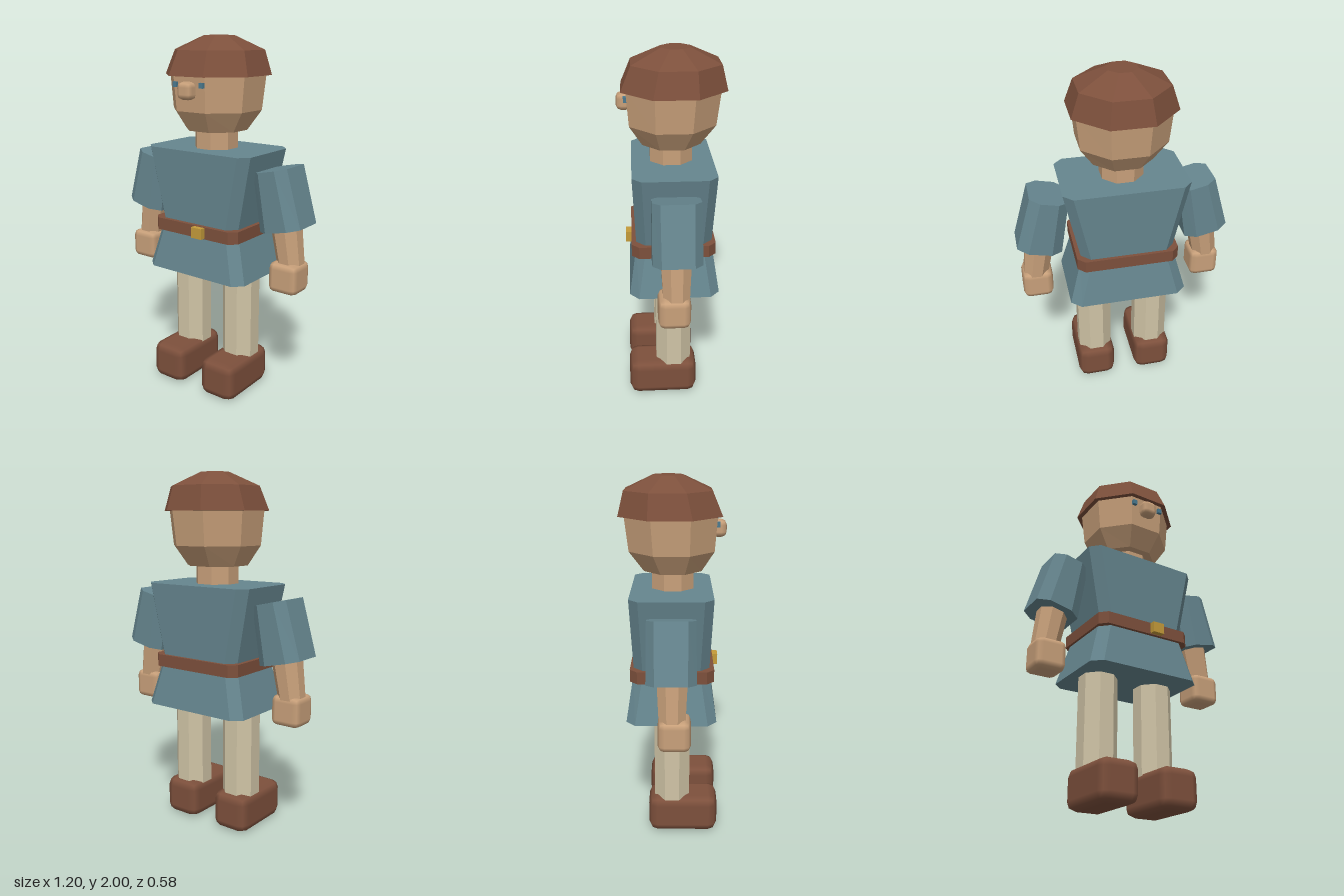
import * as THREE from 'three';
import { RoundedBoxGeometry } from 'three/addons/geometries/RoundedBoxGeometry.js';

const paint = (name, color) => Object.assign(new THREE.MeshStandardMaterial({ color }), { name });

// Faceted solid through eight-sided sections: { y, hx, hz, cx, cz, z }
// hx, hz: half sizes; cx, cz: corner cuts; z: shift of the section in depth.
function loft(sections) {
  const rings = sections.map(({ y, hx, hz = hx, cx = hx * 0.586, cz = hz * 0.586, z = 0 }) => [
    [hx, hz - cz], [hx - cx, hz], [cx - hx, hz], [-hx, hz - cz],
    [-hx, cz - hz], [cx - hx, -hz], [hx - cx, -hz], [hx, cz - hz],
  ].map(([px, pz]) => new THREE.Vector3(px, y, pz + z)));
  const points = [];
  const n = 8;
  for (let i = 0; i < n; i++) {
    const j = (i + 1) % n;
    for (let k = 0; k + 1 < rings.length; k++) {
      const low = rings[k], high = rings[k + 1];
      points.push(low[i], high[i], high[j], low[i], high[j], low[j]);
    }
    const first = sections[0], last = sections[sections.length - 1];
    points.push(new THREE.Vector3(0, first.y, first.z ?? 0), rings[0][i], rings[0][j]);
    const top = rings[rings.length - 1];
    points.push(new THREE.Vector3(0, last.y, last.z ?? 0), top[j], top[i]);
  }
  const geometry = new THREE.BufferGeometry().setFromPoints(points);
  geometry.computeVertexNormals();
  return geometry;
}

export function createModel() {
  const model = new THREE.Group();
  model.name = 'villager';

  const skin = paint('skin', 0xc8a07a);
  const cloth = paint('blue cloth', 0x66868f);
  const leather = paint('brown leather', 0x7d503c);
  const linen = paint('beige linen', 0xd0c4a6);
  const brass = paint('brass', 0xc49a3a);
  const iris = paint('eye blue', 0x4a7a90);

  const add = (name, geometry, material, x = 0, y = 0, z = 0, tilt = 0) => {
    const mesh = new THREE.Mesh(geometry, material);
    mesh.name = name;
    mesh.position.set(x, y, z);
    mesh.rotation.z = tilt;
    model.add(mesh);
    return mesh;
  };

  // Head, neck and cap
  add('head', loft([
    { y: 1.5, hx: 0.162, hz: 0.155 },
    { y: 1.61, hx: 0.232, hz: 0.228, z: -0.006 },
    { y: 1.8, hx: 0.25, hz: 0.246, z: -0.01 },
    { y: 1.88, hx: 0.2, z: -0.02 },
  ]), skin);
  add('neck', loft([{ y: 1.38, hx: 0.113 }, { y: 1.53, hx: 0.113 }]), skin);
  add('cap', loft([
    { y: 1.795, hx: 0.275, z: -0.013 },
    { y: 1.925, hx: 0.232, z: -0.025 },
    { y: 2.0, hx: 0.077, z: -0.025 },
  ]), leather);

  // Face
  add('nose', new RoundedBoxGeometry(0.092, 0.092, 0.08, 1, 0.028), skin, -0.003, 1.723, 0.248);
  for (const s of [-1, 1]) {
    add(s > 0 ? 'leftEye' : 'rightEye', new THREE.BoxGeometry(0.026, 0.028, 0.024), iris,
      s * 0.087, 1.753, 0.237);
  }

  // Tunic, belt and buckle
  add('tunicTop', loft([
    { y: 0.965, hx: 0.255, hz: 0.205, cx: 0.05, cz: 0.05, z: -0.006 },
    { y: 1.4, hx: 0.344, hz: 0.222, cx: 0.05, cz: 0.05, z: -0.006 },
  ]), cloth);
  add('tunicSkirt', loft([
    { y: 0.705, hx: 0.333, hz: 0.247, cx: 0.055, cz: 0.05, z: -0.006 },
    { y: 0.965, hx: 0.262, hz: 0.207, cx: 0.05, cz: 0.05, z: -0.006 },
  ]), cloth);
  add('belt', loft([
    { y: 0.93, hx: 0.285, hz: 0.228, cx: 0.04, cz: 0.04, z: -0.003 },
    { y: 0.998, hx: 0.285, hz: 0.228, cx: 0.04, cz: 0.04, z: -0.003 },
  ]), leather);
  add('buckle', new THREE.BoxGeometry(0.068, 0.06, 0.04), brass, 0.055, 0.965, 0.236);

  // Limbs, mirrored
  const sleeve = loft([
    { y: -0.16, hx: 0.125, hz: 0.128, cx: 0.06, cz: 0.045 },
    { y: 0.16, hx: 0.105, hz: 0.125, cx: 0.055, cz: 0.04 },
  ]);
  const forearm = loft([{ y: -0.13, hx: 0.068 }, { y: 0.13, hx: 0.08 }]);
  const hand = new RoundedBoxGeometry(0.172, 0.17, 0.17, 1, 0.035);
  const leg = loft([{ y: 0.18, hx: 0.099 }, { y: 0.74, hx: 0.099 }]);
  const shoe = new RoundedBoxGeometry(0.224, 0.22, 0.392, 1, 0.05);
  for (const s of [-1, 1]) {
    const side = s > 0 ? 'left' : 'right';
    add(side + 'Sleeve', sleeve, cloth, s * 0.441, 1.169, -0.005, s * 0.22);
    add(side + 'Forearm', forearm, skin, s * 0.484, 0.93, 0, s * 0.16);
    add(side + 'Hand', hand, skin, s * 0.497, 0.75, 0.011);
    add(side + 'Leg', leg, linen, s * 0.175, 0, -0.003);
    add(side + 'Shoe', shoe, leather, s * 0.177, 0.11, 0.06);
  }

  return model;
}
